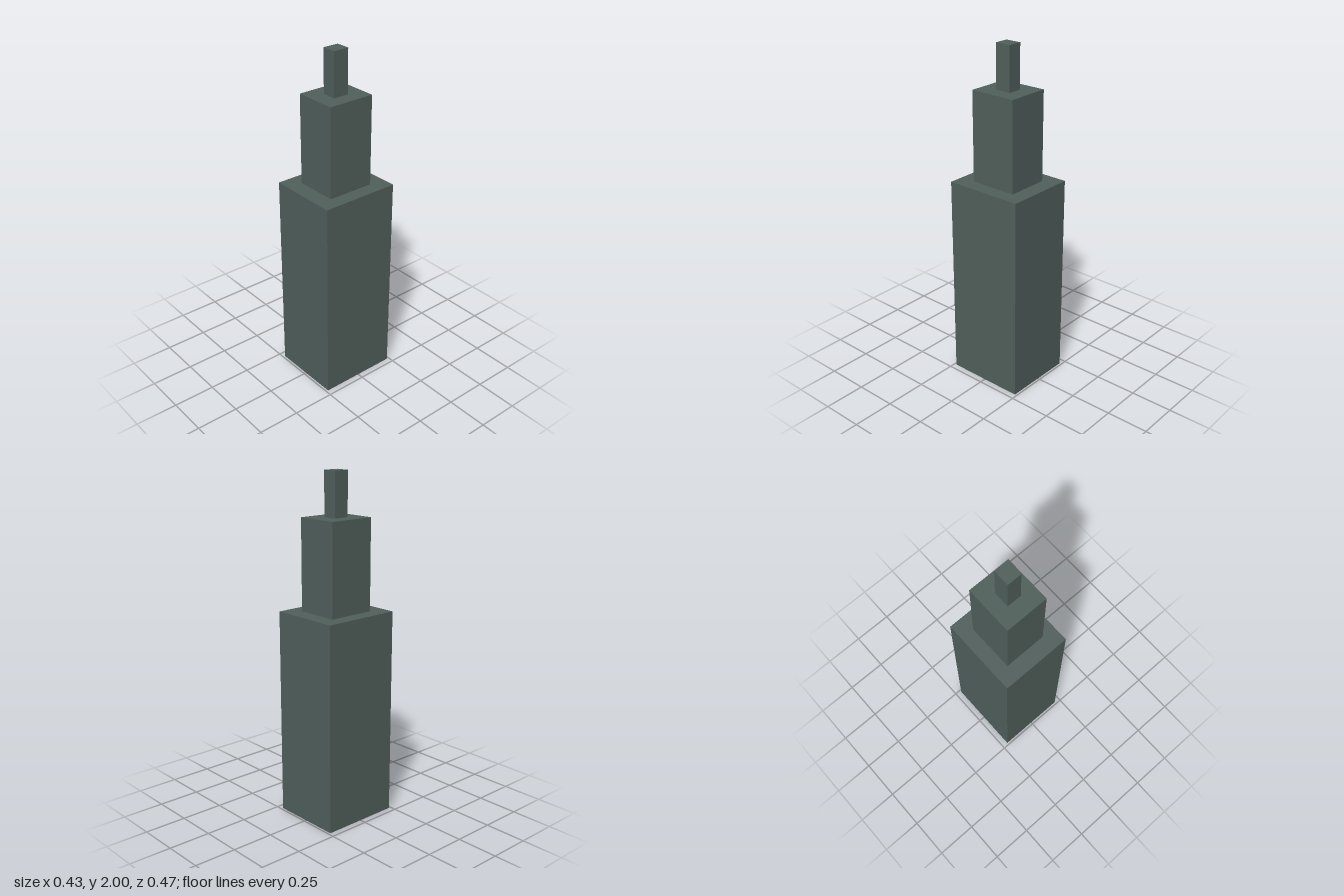
import * as THREE from 'three';

export function createModel() {
  const group = new THREE.Group();
  group.name = 'steppedTower';
  const slate = new THREE.MeshStandardMaterial({ color: 0x51605c });
  slate.name = 'slate';

  // Stacked blocks: name, width, depth, bottom, top
  const tiers = [
    ['lowerTier', 0.426, 0.473, 0, 1.216],
    ['middleTier', 0.256, 0.284, 1.216, 1.745],
    ['spire', 0.085, 0.095, 1.745, 2],
  ];
  for (const [name, width, depth, bottom, top] of tiers) {
    const mesh = new THREE.Mesh(new THREE.BoxGeometry(width, top - bottom, depth), slate);
    mesh.name = name;
    mesh.position.y = (bottom + top) / 2;
    group.add(mesh);
  }
  return group;
}
